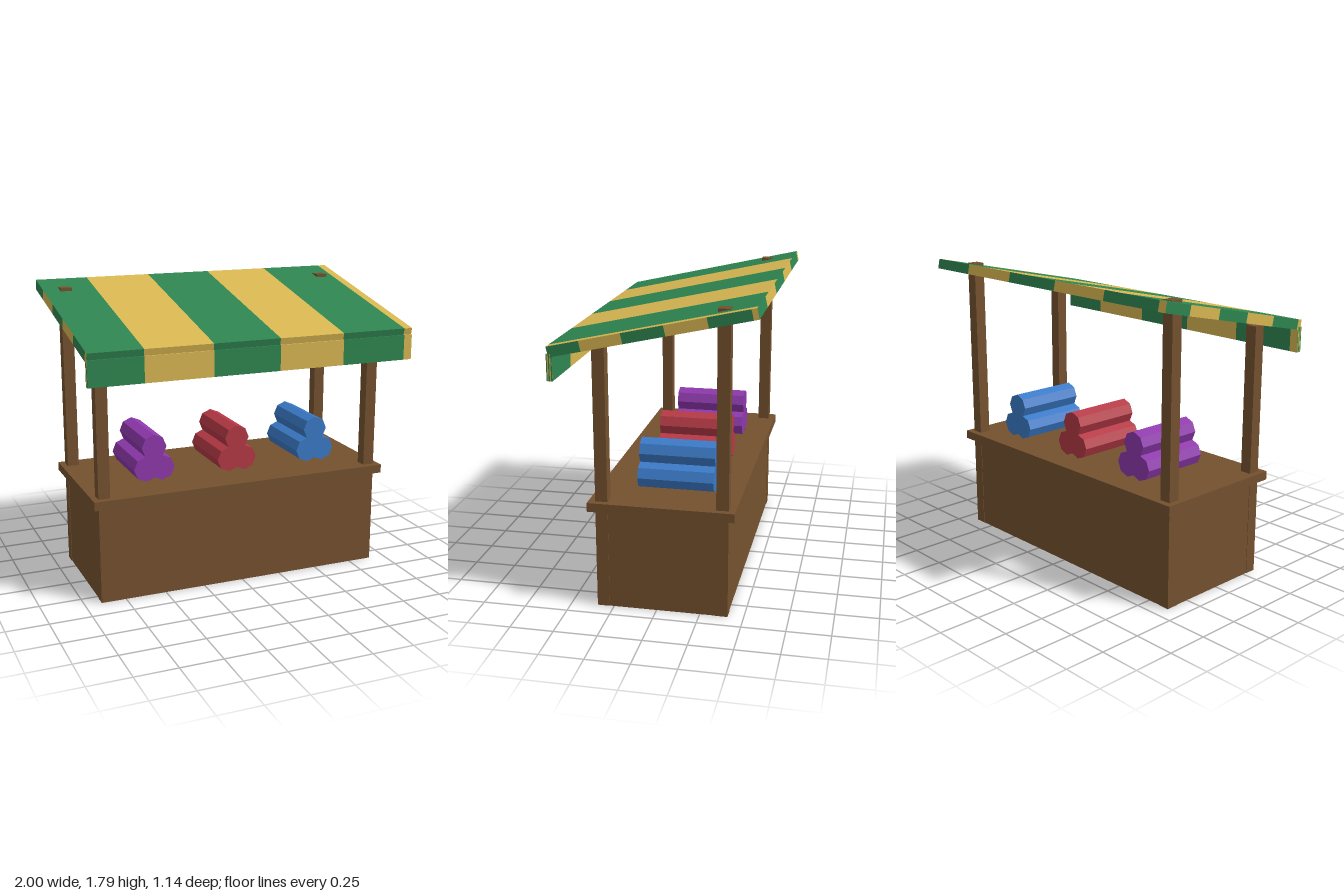
import * as THREE from 'three';

const mat = (name, color) => {
  const m = new THREE.MeshStandardMaterial({ color });
  m.name = name;
  return m;
};

// Stripe borders as fractions of a face's width
const STOPS = [0, 0.16, 0.363, 0.567, 0.77, 0.974, 1];

// One face of a striped box, lying in the xy plane and facing +z
function stripedFace(width, height, materials) {
  const geo = new THREE.PlaneGeometry(width, height, 6, 1);
  const pos = geo.attributes.position;
  for (let i = 0; i < pos.count; i++) pos.setX(i, (STOPS[i % 7] - 0.5) * width);
  for (let i = 0; i < 6; i++) geo.addGroup(i * 6, 6, i % 2);
  return new THREE.Mesh(geo, materials);
}

// Box whose every face carries the stripes from its own left to right
function stripedBox(name, w, h, d, materials) {
  const group = new THREE.Group();
  group.name = name;
  const H = Math.PI / 2;
  const faces = [
    ['Front', w, h, [0, 0, d / 2], [0, 0]],
    ['Back', w, h, [0, 0, -d / 2], [0, Math.PI]],
    ['Left', d, h, [w / 2, 0, 0], [0, H]],
    ['Right', d, h, [-w / 2, 0, 0], [0, -H]],
    ['Top', w, d, [0, h / 2, 0], [-H, 0]],
    ['Bottom', w, d, [0, -h / 2, 0], [H, 0]],
  ];
  for (const [side, fw, fh, p, r] of faces) {
    const face = stripedFace(fw, fh, materials);
    face.name = name + side;
    face.position.set(...p);
    face.rotation.set(r[0], r[1], 0);
    group.add(face);
  }
  return group;
}

export function createModel() {
  const model = new THREE.Group();
  model.name = 'marketStall';
  const wood = mat('wood', 0x75512f);
  const stripes = [mat('awningGreen', 0x2e8550), mat('awningYellow', 0xd9b752)];

  // Box given by its lowest and highest corners
  const box = (name, a, b) => {
    const geo = new THREE.BoxGeometry(b[0] - a[0], b[1] - a[1], b[2] - a[2]);
    const mesh = new THREE.Mesh(geo, wood);
    mesh.name = name;
    mesh.position.set((a[0] + b[0]) / 2, (a[1] + b[1]) / 2, (a[2] + b[2]) / 2);
    model.add(mesh);
  };

  // Counter and its overhanging top
  box('counter', [-0.897, 0, -0.407], [0.897, 0.6, 0.347]);
  box('counterTop', [-0.935, 0.588, -0.448], [0.935, 0.64, 0.385]);

  // Corner posts; the back pair pokes through the awning
  for (const s of [-1, 1]) {
    const x0 = s > 0 ? 0.83 : -0.9;
    box('frontPost', [x0, 0, 0.275], [x0 + 0.07, 1.525, 0.345]);
    box('backPost', [x0, 0, -0.41], [x0 + 0.07, 1.76, -0.34]);
  }

  // Sloping awning and the valance hanging from its front edge
  const awning = stripedBox('awning', 2, 0.06, 1.15, stripes);
  awning.position.set(0, 1.635, -0.003);
  awning.rotation.x = 0.22;
  const valance = stripedBox('valance', 2, 0.15, 0.033, stripes);
  valance.position.set(0, 1.425, 0.549);
  model.add(awning, valance);

  // Stacks of three cloth rolls
  const rollGeo = new THREE.CylinderGeometry(0.078, 0.078, 0.44, 8).rotateX(Math.PI / 2).toNonIndexed();
  rollGeo.computeVertexNormals();
  const stacks = [
    ['purple', 0x8e38ac, -0.493],
    ['red', 0xb53945, 0.045],
    ['blue', 0x3a7ac8, 0.583],
  ];
  for (const [name, color, x] of stacks) {
    const cloth = mat(name + 'Cloth', color);
    const stack = new THREE.Group();
    stack.name = name + 'Rolls';
    for (const [dx, y] of [[-0.05, 0.721], [0.05, 0.721], [0, 0.852]]) {
      const roll = new THREE.Mesh(rollGeo, cloth);
      roll.name = name + 'Roll';
      roll.position.set(x + dx, y, -0.07);
      stack.add(roll);
    }
    model.add(stack);
  }
  return model;
}
